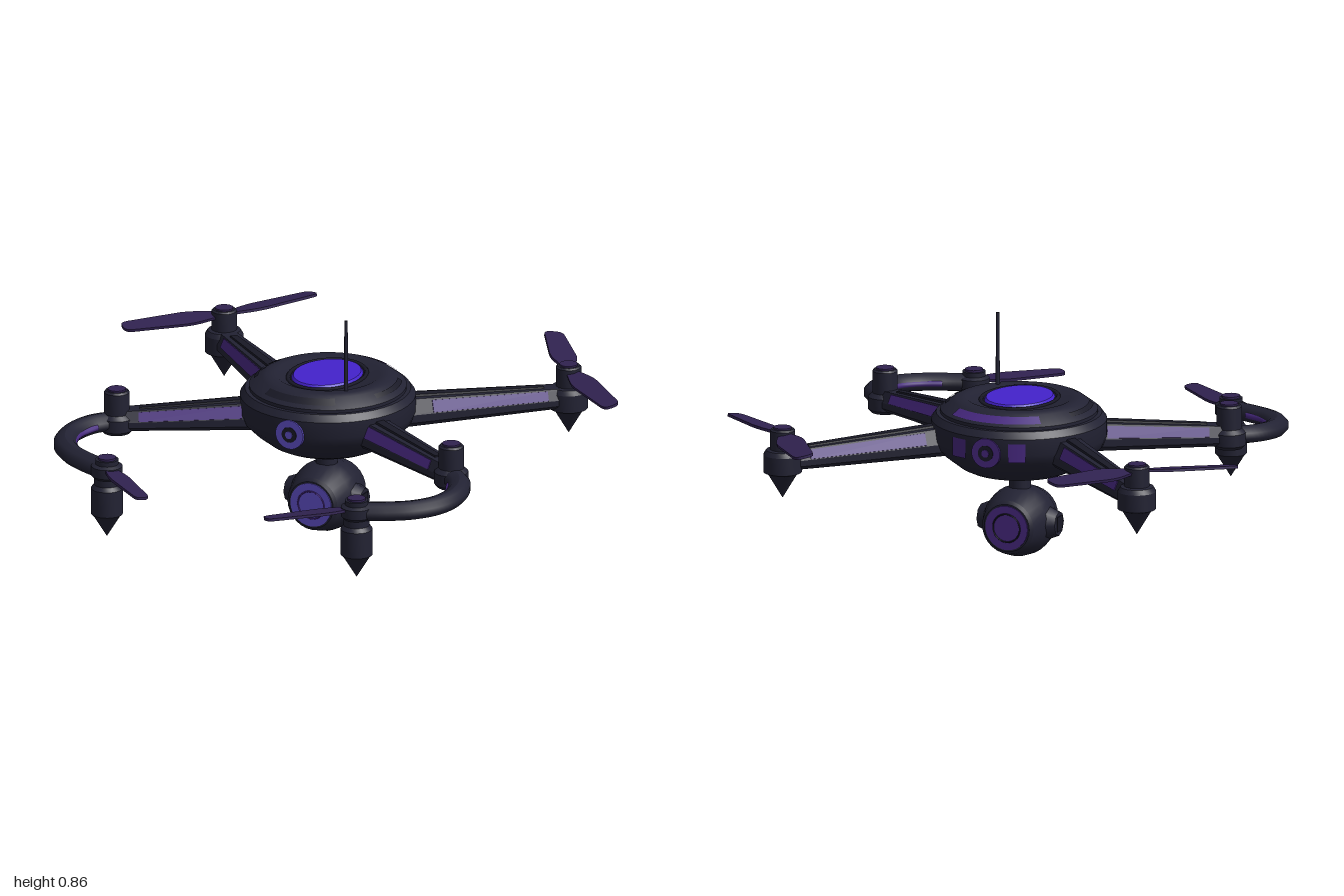
import * as THREE from 'three';
import { toCreasedNormals } from 'three/addons/utils/BufferGeometryUtils.js';

const mat = (name, color, side = THREE.FrontSide) => {
  const m = new THREE.MeshStandardMaterial({ color, side });
  m.name = name;
  return m;
};
const V2 = (p) => new THREE.Vector2(p[0], p[1]);
const lathe = (pts, seg = 32) => toCreasedNormals(new THREE.LatheGeometry(pts.map(V2), seg), 0.5);

export function createModel() {
  const shell = mat('shell', 0x222233);
  const trim = mat('trim', 0x191926, THREE.DoubleSide);
  const dome = mat('domeGlass', 0x4422cc);
  const lens = mat('lens', 0x5c4cc0);
  const stripe = mat('stripe', 0x472880, THREE.DoubleSide);
  const blade = mat('blade', 0x302250);

  const model = new THREE.Group();
  const add = (parent, name, geo, material, x = 0, y = 0, z = 0) => {
    const m = new THREE.Mesh(geo, material);
    m.name = name;
    m.position.set(x, y, z);
    parent.add(m);
    return m;
  };

  // Round body, with a stepped upper lid
  const body = new THREE.Group();
  body.name = 'body';
  body.position.z = -0.08;
  model.add(body);
  add(body, 'hull', lathe([[0, 0.325], [0.185, 0.328], [0.215, 0.342], [0.27, 0.385], [0.305, 0.42],
    [0.318, 0.455], [0.318, 0.515], [0.3, 0.54], [0.285, 0.54], [0.285, 0.552], [0.24, 0.585],
    [0.222, 0.593], [0.19, 0.593], [0.18, 0.588], [0, 0.588]], 48), shell);
  const glass = add(body, 'topWindow', new THREE.CylinderGeometry(0.94, 1, 0.012, 40), dome, 0, 0.592, 0.005);
  glass.scale.set(0.124, 1, 0.156);
  const rim = add(body, 'windowRim', new THREE.TorusGeometry(1, 0.06, 6, 40).rotateX(Math.PI / 2), trim, 0, 0.589, 0.005);
  rim.scale.set(0.135, 0.1, 0.167);

  // Curved vents let into the lid, front and back (angles start at +z)
  const vent = (name, pts, mid, span, material) => add(body, name,
    new THREE.LatheGeometry(pts.map(V2), 20, mid - span / 2, span), material);
  vent('frontVent', [[0.272, 0.565], [0.247, 0.583]], 0, 1.1, trim);
  vent('rearVent', [[0.277, 0.562], [0.247, 0.583]], Math.PI, 1.35, stripe);
  for (const s of [1, -1]) vent('sideVent', [[0.268, 0.568], [0.252, 0.58]], s * Math.PI / 2, 0.8, trim);

  // Sensor eyes on the front and back of the hull
  const disc = (r, depth) => new THREE.CylinderGeometry(r, r, depth, 28).rotateX(Math.PI / 2);
  for (const s of [1, -1]) {
    const eye = new THREE.Group();
    eye.name = s > 0 ? 'frontSensor' : 'rearSensor';
    eye.rotation.y = s > 0 ? 0 : Math.PI;
    body.add(eye);
    const glow = s > 0 ? lens : stripe;
    add(eye, 'sensorRing', disc(0.055, 0.03), glow, 0, 0.46, 0.307);
    add(eye, 'sensorPupil', disc(0.029, 0.004), trim, 0, 0.46, 0.323);
    add(eye, 'sensorCore', disc(0.014, 0.004), glow, 0, 0.46, 0.326);
    if (s < 0) for (const t of [1, -1]) {
      const lamp = new THREE.LatheGeometry([V2([0.321, 0.43]), V2([0.321, 0.5])], 8, t * 0.36 - 0.1, 0.2);
      add(eye, 'rearLamp', lamp, stripe);
    }
  }
  add(body, 'antenna', new THREE.CylinderGeometry(0.006, 0.008, 0.28, 10), shell, 0.14, 0.72, 0.14);

  // Gimbal camera slung below
  const cam = new THREE.Group();
  cam.name = 'gimbalCamera';
  cam.position.set(0, 0.132, -0.07);
  model.add(cam);
  add(cam, 'neck', new THREE.CylinderGeometry(0.04, 0.04, 0.13, 20), shell, 0, 0.15, 0);
  add(cam, 'cameraHead', lathe([[0, -0.128], [0.088, -0.128], [0.1, -0.118], [0.124, -0.05], [0.131, 0],
    [0.124, 0.05], [0.1, 0.118], [0.088, 0.128], [0, 0.128]], 28).rotateX(Math.PI / 2), shell);
  for (const s of [1, -1]) {
    const glow = s > 0 ? lens : stripe;
    add(cam, s > 0 ? 'frontLens' : 'rearLens', disc(0.082, 0.008), glow, 0, 0, s * 0.128);
    add(cam, 'lensRing', new THREE.TorusGeometry(0.052, 0.003, 6, 28), s > 0 ? stripe : trim, 0, 0, s * 0.132);
    add(cam, 'sidePivot', new THREE.CylinderGeometry(0.045, 0.062, 0.04, 8).rotateZ(-s * Math.PI / 2), shell, s * 0.132, 0, 0);
    add(cam, 'pivotPlate', new THREE.BoxGeometry(0.006, 0.055, 0.045), trim, s * 0.152, 0, 0);
  }

  // Tapered beam: a cross-section swept along z from share t0 to t1 of the arm length
  const beam = (pts, len, t0, t1) => {
    const g = new THREE.ExtrudeGeometry(new THREE.Shape(pts.map(V2)), { depth: len * (t1 - t0), bevelEnabled: false });
    g.translate(0, 0, len * t0);
    const p = g.attributes.position;
    for (let i = 0; i < p.count; i++) {
      const t = p.getZ(i) / len;
      p.setXY(i, p.getX(i) * (1 - 0.36 * t), 0.395 + (p.getY(i) - 0.4) * (1 - 0.32 * t));
    }
    g.computeVertexNormals();
    return g;
  };
  const section = [[-0.048, 0.4], [0.048, 0.4], [0.07, 0.42], [0.07, 0.45], [0.045, 0.505],
    [-0.045, 0.505], [-0.07, 0.45], [-0.07, 0.42]];
  const addArm = (parent, name, [ax, az], [bx, bz]) => {
    const len = Math.hypot(bx - ax, bz - az);
    const arm = new THREE.Group();
    arm.name = name;
    arm.position.set(ax, 0, az);
    arm.rotation.y = Math.atan2(bx - ax, bz - az);
    parent.add(arm);
    add(arm, 'beam', beam(section, len, 0, 1), shell);
    add(arm, 'ridge', beam([[-0.022, 0.5], [0.022, 0.5], [0.018, 0.513], [-0.018, 0.513]], len, 0.1, 0.85), trim);
    for (const s of [1, -1]) {
      const strip = [[0.067, 0.452], [0.073, 0.455], [0.053, 0.499], [0.046, 0.497]].map(([x, y]) => [s * x, y]);
      add(arm, 'armStripe', beam(s > 0 ? strip : strip.reverse(), len, 0.18, 0.86), stripe);
    }
  };

  // Rotor blade reaching from a hub toward a tip point
  const addBlade = (parent, [ax, az], [bx, bz], y0, y1, width, pitch) => {
    const L = Math.hypot(bx - ax, bz - az);
    const shape = new THREE.Shape();
    shape.moveTo(0, -0.018);
    shape.bezierCurveTo(L * 0.15, -0.02, L * 0.22, -width / 2, L * 0.4, -width / 2);
    shape.lineTo(L * 0.93, -width * 0.34);
    shape.quadraticCurveTo(L, -width * 0.3, L, -width * 0.12);
    shape.quadraticCurveTo(L * 1.01, width * 0.36, L * 0.93, width * 0.4);
    shape.lineTo(L * 0.4, width / 2);
    shape.bezierCurveTo(L * 0.22, width / 2, L * 0.15, 0.02, 0, 0.018);
    const g = new THREE.ExtrudeGeometry(shape, { depth: 0.01, bevelEnabled: false, curveSegments: 6 });
    g.translate(0, 0, -0.005).rotateX(-Math.PI / 2 + pitch);
    const m = add(parent, 'rotorBlade', g, blade, ax, y0, az);
    m.rotation.set(0, Math.atan2(-(bz - az), bx - ax), Math.atan2(y1 - y0, L));
  };

  // Motor pods, turned from bottom to top
  const rearPod = [[0, 0.288], [0.05, 0.372], [0.056, 0.38], [0.07, 0.385], [0.07, 0.45], [0.06, 0.467],
    [0.046, 0.47], [0.046, 0.54], [0.04, 0.546], [0, 0.546]];
  const midPod = [[0, 0.382], [0.05, 0.382], [0.062, 0.395], [0.062, 0.44], [0.046, 0.455], [0.046, 0.535],
    [0.04, 0.542], [0, 0.542]];
  const frontPod = [[0, 0.15], [0.048, 0.228], [0.058, 0.238], [0.058, 0.335], [0.047, 0.35], [0.047, 0.375],
    [0.057, 0.385], [0.057, 0.42], [0.042, 0.428], [0.042, 0.445], [0, 0.447]];
  const addPod = (parent, name, profile, x, z) => {
    add(parent, name, lathe(profile, 24), shell, x, 0, z);
    const top = profile[profile.length - 1][1];
    add(parent, 'podCap', new THREE.CylinderGeometry(0.033, 0.033, 0.008, 20), blade, x, top + 0.002, z);
  };

  for (const s of [1, -1]) {
    const side = new THREE.Group();
    side.name = s > 0 ? 'leftSide' : 'rightSide';
    model.add(side);

    // Rear arm with a two-bladed rotor
    const hub = [s * 0.69, -0.65];
    addArm(side, 'rearArm', [s * 0.22, -0.2], hub);
    addPod(side, 'rearMotor', rearPod, ...hub);
    addBlade(side, hub, [s * 0.48, -0.965], 0.525, 0.535, 0.1, s * 0.16);
    addBlade(side, hub, [s * 0.98, -0.405], 0.525, 0.51, 0.09, s * 0.16);

    // Front arm ending in a hooked guard
    addArm(side, 'frontArm', [s * 0.19, 0.02], [s * 0.67, 0.285]);
    addPod(side, 'frontArmJoint', midPod, s * 0.67, 0.285);
    const path = [[0.66, 0.285], [0.735, 0.355], [0.768, 0.46], [0.748, 0.555], [0.685, 0.63], [0.6, 0.68], [0.5, 0.72]];
    const hook = (pts, r) => {
      const curve = new THREE.CatmullRomCurve3(pts.map(([x, z]) => new THREE.Vector3(s * x, 0, z)));
      const g = new THREE.TubeGeometry(curve, 40, r, 10).scale(1, 0.8, 1);
      const p = g.attributes.position;
      for (let i = 0; i < p.count; i++) p.setY(i, p.getY(i) + 0.427 - 0.06 * (p.getZ(i) - 0.285));
      g.computeVertexNormals();
      return g;
    };
    add(side, 'hookedGuard', hook(path, 0.042), shell);
    const inner = path.slice(1, 6).map(([x, z]) => [0.58 + (x - 0.58) * 0.84, 0.48 + (z - 0.48) * 0.84]);
    add(side, 'guardStripe', hook(inner, 0.016), stripe);

    // Front motor with its single blade
    addPod(side, 'frontMotor', frontPod, s * 0.5, 0.72);
    addBlade(side, [s * 0.5, 0.72], [s * 0.245, 0.955], 0.412, 0.408, 0.075, s * 0.1);
  }
  return model;
}
